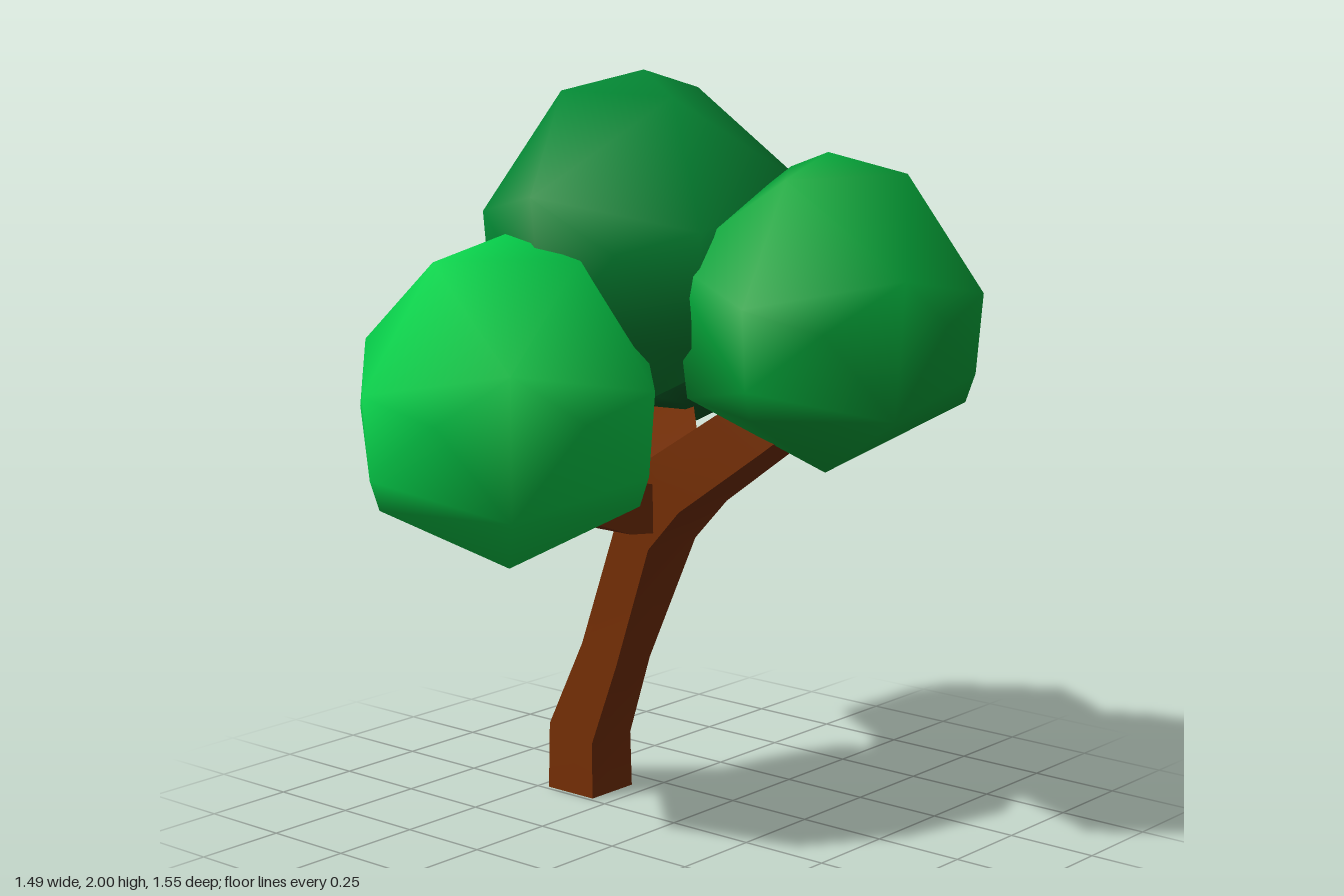
import * as THREE from 'three';
import { mergeVertices, toCreasedNormals } from 'three/addons/utils/BufferGeometryUtils.js';
import { ConvexGeometry } from 'three/addons/geometries/ConvexGeometry.js';

const V = (x, y, z) => new THREE.Vector3(x, y, z);

// Square-section limb swept along stations [x, y, z, half thickness, half width];
// "across" is the horizontal direction that the width follows.
function limb(name, across, stations, material) {
  const pts = stations.map(s => V(s[0], s[1], s[2]));
  const N = across.clone().normalize();
  const pos = [], index = [];
  stations.forEach((s, i) => {
    const T = V(0, 0, 0);
    if (i > 0) T.add(pts[i].clone().sub(pts[i - 1]).normalize());
    if (i < pts.length - 1) T.add(pts[i + 1].clone().sub(pts[i]).normalize());
    const U = N.clone().cross(T).normalize();
    for (const [a, b] of [[1, 1], [-1, 1], [-1, -1], [1, -1]]) {
      const p = pts[i].clone().addScaledVector(U, a * s[3]).addScaledVector(N, b * s[4]);
      pos.push(p.x, p.y, p.z);
    }
    if (i === 0) return;
    for (let j = 0; j < 4; j++) {
      const a = (i - 1) * 4 + j, b = (i - 1) * 4 + (j + 1) % 4;
      index.push(a, b, b + 4, a, b + 4, a + 4);
    }
  });
  const e = (stations.length - 1) * 4;
  index.push(0, 3, 2, 0, 2, 1, e, e + 1, e + 2, e, e + 2, e + 3);
  const geo = new THREE.BufferGeometry();
  geo.setAttribute('position', new THREE.Float32BufferAttribute(pos, 3));
  geo.setIndex(index);
  // Smooth along the bends, sharp along the four edges
  const mesh = new THREE.Mesh(toCreasedNormals(geo, 0.75), material);
  mesh.name = name;
  return mesh;
}

// Rounded six-sided clump with three-fold symmetry, as rings on a unit ball:
// [radius, height, turn in degrees, corner count]
const RINGS = [
  [0.49, 0.87, 0, 3],
  [0.97, 0.14, 0, 3],
  [0.97, 0.32, 60, 3],
  [0.865, 0, 30, 6],
  [0.93, -0.36, 0, 3],
  [0.87, -0.54, 0, 6],
];

function clump(name, [x, y, z], r, ry, turn, color) {
  const pts = [V(0, ry, 0), V(0, -ry, 0)];
  for (const [rad, h, extra, count] of RINGS) {
    for (let i = 0; i < count; i++) {
      const a = THREE.MathUtils.degToRad(turn + extra + i * 360 / count);
      pts.push(V(Math.cos(a) * rad * r, h * ry, Math.sin(a) * rad * r));
    }
  }
  // Share the corners so the shading is smooth
  let geo = new ConvexGeometry(pts);
  geo.deleteAttribute('normal');
  geo = mergeVertices(geo, 1e-4);
  geo.computeVertexNormals();
  const mesh = new THREE.Mesh(geo, new THREE.MeshStandardMaterial({ color }));
  mesh.name = name;
  mesh.position.set(x, y, z);
  return mesh;
}

export function createModel() {
  const tree = new THREE.Group();
  tree.name = 'tree';
  const bark = new THREE.MeshStandardMaterial({ color: 0x762f04 });

  // Leaning trunk, bending over into the left branch
  tree.add(limb('trunk', V(0, 0, 1), [
    [-0.388, 0, -0.095, 0.082, 0.082],
    [-0.388, 0.17, -0.095, 0.08, 0.08],
    [-0.29, 0.41, -0.095, 0.066, 0.07],
    [-0.17, 0.76, -0.125, 0.064, 0.098],
    [-0.06, 0.91, -0.12, 0.085, 0.1],
    [0.22, 1.1, -0.12, 0.075, 0.085],
    [0.36, 1.2, -0.13, 0.07, 0.08],
  ], bark));

  // Side branches
  tree.add(limb('backBranch', V(1, 0, -1), [
    [-0.12, 0.82, -0.12, 0.085, 0.06],
    [-0.24, 0.92, -0.26, 0.095, 0.075],
    [-0.43, 1.07, -0.45, 0.078, 0.075],
  ], bark));
  tree.add(limb('frontBranch', V(1, 0, 0), [
    [-0.145, 0.83, -0.1, 0.06, 0.05],
    [-0.15, 0.86, 0.05, 0.07, 0.06],
    [-0.17, 0.93, 0.25, 0.065, 0.065],
  ], bark));

  // Leaf clumps
  tree.add(clump('topLeaves', [-0.165, 1.56, -0.073], 0.45, 0.44, 30, 0x048834));
  tree.add(clump('leftLeaves', [0.395, 1.403, -0.135], 0.408, 0.411, 84, 0x04a83a));
  tree.add(clump('frontLeaves', [-0.255, 1.165, 0.36], 0.435, 0.437, 105, 0x04d04a));
  tree.add(clump('backLeaves', [-0.452, 1.247, -0.465], 0.325, 0.32, 92, 0x045522));
  return tree;
}
